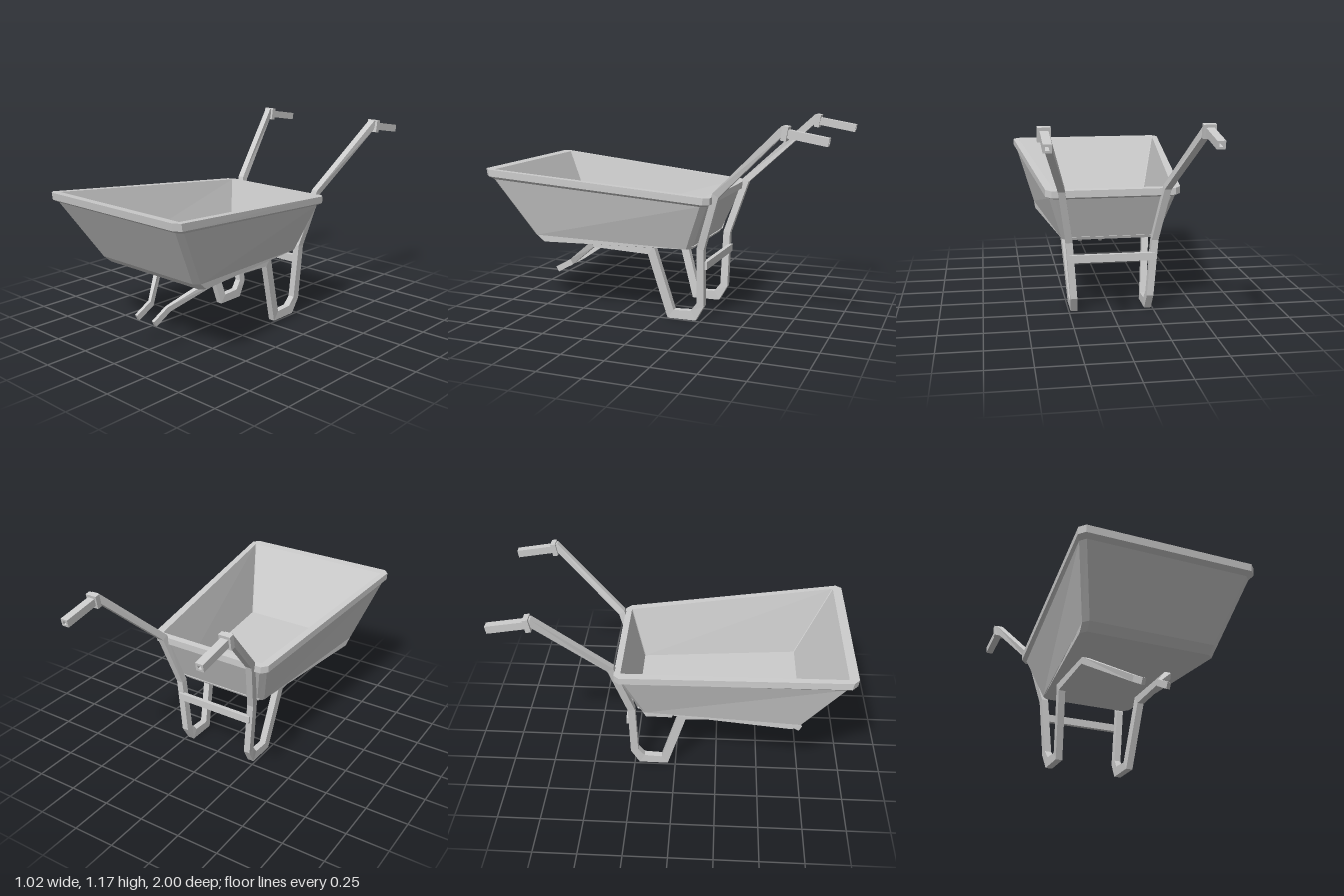
import * as THREE from 'three';

const material = new THREE.MeshStandardMaterial({ color: 0xcccccc, flatShading: true });

function add(parent, name, geometry) {
  const mesh = new THREE.Mesh(geometry, material);
  mesh.name = name;
  parent.add(mesh);
  return mesh;
}

// Joins rings of equal length with quads and caps both ends
function loft(rings) {
  const out = [];
  const tri = (...pts) => pts.forEach((p) => out.push(...p));
  const n = rings[0].length;
  for (let i = 0; i < rings.length - 1; i++) {
    for (let j = 0; j < n; j++) {
      const k = (j + 1) % n;
      const [a, b, c, d] = [rings[i][j], rings[i][k], rings[i + 1][k], rings[i + 1][j]];
      tri(a, b, c);
      tri(a, c, d);
    }
  }
  const first = rings[0], last = rings[rings.length - 1];
  for (let j = 1; j < n - 1; j++) {
    tri(first[0], first[j + 1], first[j]);
    tri(last[0], last[j], last[j + 1]);
  }
  const g = new THREE.BufferGeometry();
  g.setAttribute('position', new THREE.Float32BufferAttribute(out, 3));
  g.computeVertexNormals();
  return g;
}

// Trapezoid outline with cut corners; height is a function of z
function trayRing(zF, zB, xF, xB, c, yAt) {
  return [
    [-xF + c, zF], [xF - c, zF], [xF, zF - c], [xB, zB + c],
    [xB - c, zB], [-xB + c, zB], [-xB, zB + c], [-xF, zF - c],
  ].map(([x, z]) => [x, yAt(z), z]);
}

// Mitred rectangular bar along points [x, y, z, width, height]
function bar(points, side) {
  const normal = (a, b) => {
    const dy = b[1] - a[1], dz = b[2] - a[2], l = Math.hypot(dy, dz);
    return [dz / l, -dy / l];
  };
  return loft(points.map((p, i) => {
    const n0 = normal(points[Math.max(i - 1, 0)], points[Math.max(i, 1)]);
    const last = points.length - 1;
    const n1 = normal(points[Math.min(i, last - 1)], points[Math.min(i + 1, last)]);
    const s = 1 + n0[0] * n1[0] + n0[1] * n1[1];
    const my = (n0[0] + n1[0]) / s, mz = (n0[1] + n1[1]) / s;
    const [x, y, z, w, h] = p;
    return [[-1, -1], [1, -1], [1, 1], [-1, 1]].map(([u, v]) =>
      [side * x + u * w / 2, y + v * my * h / 2, z + v * mz * h / 2]);
  }));
}

export function createModel() {
  const model = new THREE.Group();
  model.name = 'wheelbarrow';

  // Tray: outside floor, bevel, walls, rim, then down the inside to the floor
  const rimTop = (z) => 0.784 + 0.0865 * z;
  add(model, 'tray', loft([
    trayRing(0.71, -0.2, 0.385, 0.28, 0.03, () => 0.435),
    trayRing(0.755, -0.205, 0.39, 0.283, 0.03, (z) => 0.444 + 0.041 * Math.max(z, -0.2)),
    trayRing(0.965, -0.315, 0.492, 0.362, 0.03, (z) => rimTop(z) - 0.055),
    trayRing(0.995, -0.34, 0.51, 0.385, 0.032, (z) => rimTop(z) - 0.04),
    trayRing(1.0, -0.34, 0.51, 0.385, 0.032, rimTop),
    trayRing(0.947, -0.302, 0.472, 0.338, 0.004, rimTop),
    trayRing(0.732, -0.22, 0.362, 0.27, 0.004, () => 0.455),
  ]));

  // One continuous bar per side: wheel fork, under-tray rail, leg loop, handle
  const path = [
    [0.07, 0.182, 0.768, 0.02, 0.036],
    [0.07, 0.24, 0.665, 0.022, 0.036],
    [0.25, 0.417, 0.42, 0.04, 0.036],
    [0.25, 0.41, 0.045, 0.04, 0.05],
    [0.22, 0.03, -0.065, 0.04, 0.05],
    [0.22, 0.034, -0.205, 0.04, 0.056],
    [0.225, 0.105, -0.25, 0.04, 0.046],
    [0.25, 0.44, -0.257, 0.04, 0.042],
    [0.3, 0.765, -0.36, 0.04, 0.04],
    [0.42, 1.145, -0.755, 0.04, 0.04],
    [0.42, 1.13, -0.79, 0.036, 0.036],
  ];

  for (const [side, label] of [[1, 'left'], [-1, 'right']]) {
    add(model, `${label}Frame`, bar(path, side));

    // Handle grip with a small opening at its end, and a collar in front
    const handle = new THREE.Group();
    handle.name = `${label}Handle`;
    handle.position.set(side * 0.42, 1.132, -0.77);
    handle.rotation.x = -0.17;
    const square = (r) => [[-r, -r], [r, -r], [r, r], [-r, r]].map((p) => new THREE.Vector2(...p));
    const shape = new THREE.Shape(square(0.022));
    shape.holes.push(new THREE.Path(square(0.01)));
    const grip = new THREE.ExtrudeGeometry(shape, { depth: 0.23, bevelEnabled: false });
    grip.translate(0, 0, -0.23);
    add(handle, 'grip', grip);
    const collar = add(handle, 'collar', new THREE.BoxGeometry(0.068, 0.076, 0.03));
    collar.position.z = 0;
    model.add(handle);
  }

  // Brace between the rear legs
  const brace = add(model, 'crossBrace', new THREE.BoxGeometry(0.5, 0.045, 0.025));
  brace.position.set(0, 0.342, -0.279);

  return model;
}
